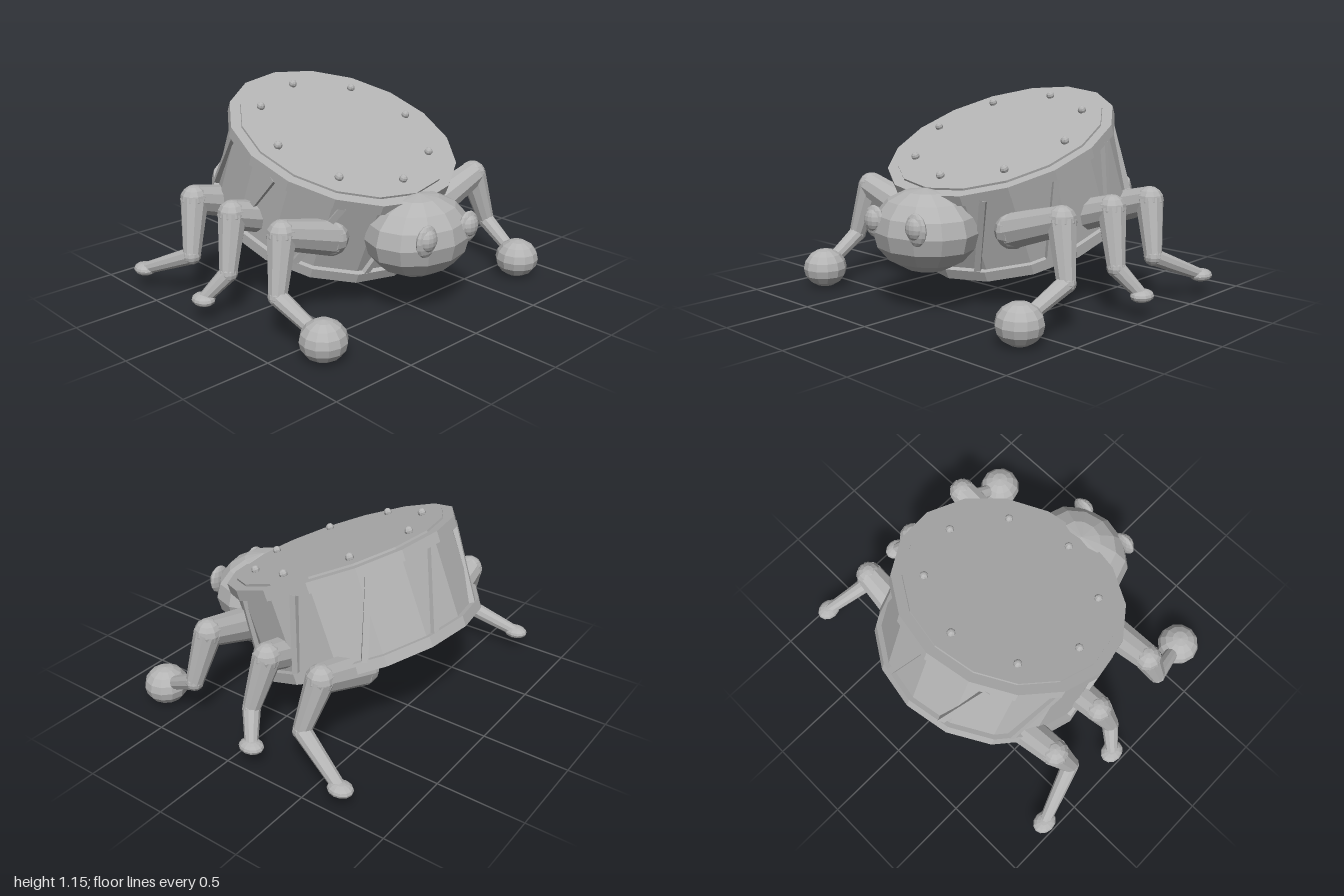
import * as THREE from 'three';

const grey = new THREE.MeshStandardMaterial({ color: 0xb4b4b4 });
grey.name = 'grey';
grey.flatShading = true;

const V = (x, y, z) => new THREE.Vector3(x, y, z);

function add(parent, name, geometry, position) {
  const mesh = new THREE.Mesh(geometry, grey);
  mesh.name = name;
  if (position) mesh.position.copy(position);
  parent.add(mesh);
  return mesh;
}

function ball(parent, name, position, rx, ry = rx, rz = rx, sides = 12, rings = 8) {
  return add(parent, name, new THREE.SphereGeometry(1, sides, rings).scale(rx, ry, rz), position);
}

// Tapered limb section between two joints
function limb(parent, name, a, b, ra, rb) {
  const dir = b.clone().sub(a);
  const mesh = add(parent, name, new THREE.CylinderGeometry(rb, ra, dir.length(), 10, 1), a.clone().lerp(b, 0.5));
  mesh.quaternion.setFromUnitVectors(V(0, 1, 0), dir.normalize());
  return mesh;
}

// Drum-shaped body, built upright and tilted forward
function makeDrum() {
  const drum = new THREE.Group();
  drum.name = 'drumBody';
  const H = 0.54, R = 0.67, rim = 0.06;
  const disc = (name, r, h, y) => add(drum, name, new THREE.CylinderGeometry(r, r, h, 16), V(0, y, 0));
  disc('shell', 0.64, H - rim, 0);
  disc('topRim', R, rim, H / 2 - rim / 2);
  disc('bottomRim', R, rim, -H / 2 + rim / 2);
  disc('drumSkin', 0.61, 0.012, H / 2 + 0.006);

  // Studs around the skin
  for (let i = 0; i < 8; i++) {
    const a = i * Math.PI / 4;
    ball(drum, 'stud', V(Math.sin(a) * 0.495, H / 2 + 0.025, Math.cos(a) * 0.495), 0.024, 0.024, 0.024, 8, 6);
  }

  // Slanted struts between the rims
  for (let i = 0; i < 10; i++) {
    const mid = THREE.MathUtils.degToRad(29 + i * 36);
    const at = (a, y) => V(Math.cos(a) * 0.643, y, Math.sin(a) * 0.643);
    const lo = at(mid + 0.125, -0.22), hi = at(mid - 0.125, 0.22);
    const up = hi.clone().sub(lo);
    const strut = add(drum, 'strut', new THREE.BoxGeometry(0.034, up.length(), 0.034), lo.clone().lerp(hi, 0.5));
    up.normalize();
    const out = V(Math.cos(mid), 0, Math.sin(mid));
    const side = up.clone().cross(out).normalize();
    strut.quaternion.setFromRotationMatrix(new THREE.Matrix4().makeBasis(side, up, side.clone().cross(up)));
  }
  drum.position.set(0, 0.645, -0.115);
  drum.rotation.x = Math.PI / 8;
  return drum;
}

// Head with two bulging eyes
function makeHead() {
  const head = new THREE.Group();
  head.name = 'head';
  ball(head, 'skull', V(0, 0.445, 0.57), 0.32, 0.228, 0.265);
  for (const s of [-1, 1]) {
    ball(head, 'eyeSocket', V(s * 0.165, 0.5, 0.783), 0.076, 0.088, 0.03);
    ball(head, 'eyeball', V(s * 0.165, 0.507, 0.795), 0.058, 0.06, 0.036);
  }
  return head;
}

// One leg: hip, knee, ankle and foot
function makeLeg(name, s, { hipZ, kneeZ, ankleZ, foot, footSize }) {
  const leg = new THREE.Group();
  leg.name = (s > 0 ? 'left' : 'right') + name;
  const hip = V(s * 0.42, 0.465, hipZ);
  const knee = V(s * 0.75, 0.565, kneeZ);
  const ankle = V(s * 0.83, 0.265, ankleZ);
  const toe = V(s * foot[0], foot[1], foot[2]);
  ball(leg, 'hip', hip, 0.1, 0.1, 0.1, 10);
  limb(leg, 'thigh', hip, knee, 0.1, 0.08);
  ball(leg, 'knee', knee, 0.08, 0.08, 0.08, 10);
  limb(leg, 'shin', knee, ankle, 0.08, 0.05);
  ball(leg, 'ankle', ankle, 0.052, 0.052, 0.052, 10);
  limb(leg, 'lowerShin', ankle, toe, 0.05, 0.035);
  ball(leg, 'foot', toe, ...footSize, 12, 8);
  return leg;
}

export function createModel() {
  const model = new THREE.Group();
  model.name = 'drumBeetle';
  model.add(makeDrum(), makeHead());

  const pad = [0.06, 0.036, 0.073];
  const legs = {
    FrontLeg: { hipZ: 0.33, kneeZ: 0.325, ankleZ: 0.38, foot: [0.778, 0.113, 0.667], footSize: [0.126, 0.112, 0.126] },
    MiddleLeg: { hipZ: -0.09, kneeZ: -0.09, ankleZ: -0.035, foot: [0.94, 0.118, -0.12], footSize: pad },
    BackLeg: { hipZ: -0.455, kneeZ: -0.44, ankleZ: -0.375, foot: [0.94, 0.118, -0.70], footSize: pad },
  };
  for (const [name, spec] of Object.entries(legs))
    for (const s of [-1, 1]) model.add(makeLeg(name, s, spec));
  return model;
}
